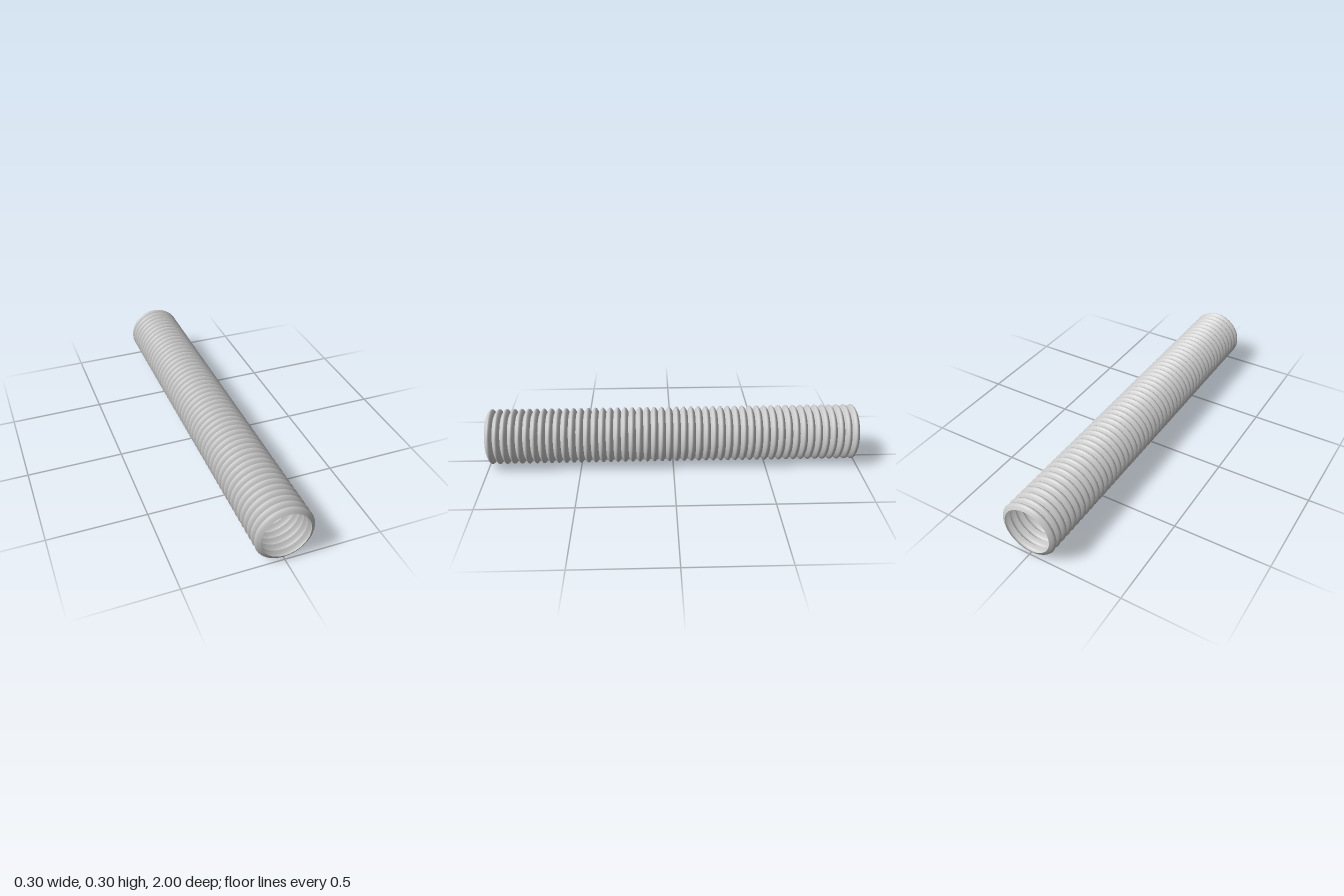
import * as THREE from 'three';

const RIBS = 50, LENGTH = 2, PITCH = LENGTH / RIBS;
const VALLEY_R = 0.125, CREST_R = 0.15, STEPS = 6, SIDES = 32;

export function createModel() {
  const group = new THREE.Group();
  group.name = 'corrugatedPipe';
  const material = new THREE.MeshStandardMaterial({ color: 0xcccccc, side: THREE.DoubleSide });

  // one rounded rib: thin wall bulging from valley to crest and back
  const profile = [];
  for (let i = 0; i <= STEPS; i++) {
    const t = i / STEPS;
    const r = VALLEY_R + (CREST_R - VALLEY_R) * Math.sin(Math.PI * t);
    profile.push(new THREE.Vector2(r, (t - 0.5) * PITCH));
  }
  const ribGeometry = new THREE.LatheGeometry(profile, SIDES);
  ribGeometry.rotateX(Math.PI / 2);

  // ribs laid end to end, meeting in sharp valleys; both pipe ends stay open
  for (let i = 0; i < RIBS; i++) {
    const rib = new THREE.Mesh(ribGeometry, material);
    rib.name = `pipeRib${i + 1}`;
    rib.position.set(0, CREST_R, -LENGTH / 2 + (i + 0.5) * PITCH);
    group.add(rib);
  }
  return group;
}
